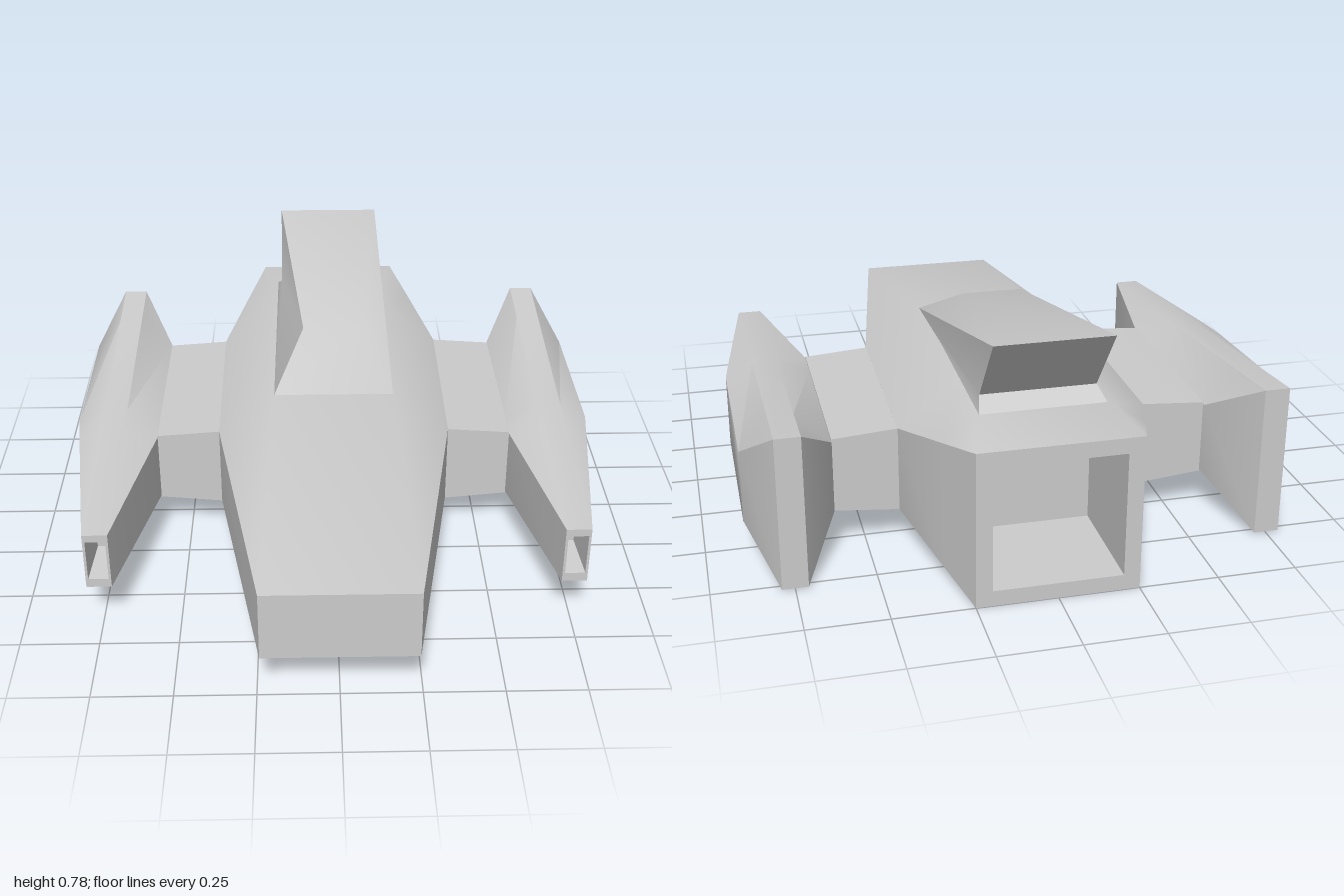
import * as THREE from 'three';
import { toCreasedNormals } from 'three/addons/utils/BufferGeometryUtils.js';

const material = new THREE.MeshStandardMaterial({ color: 0xcccccc });
const { lerp } = THREE.MathUtils;

// Skin a list of rings with equal point counts and cap both ends.
// Rings run counter-clockwise as seen from the last ring's side.
function loft(name, rings) {
  const out = [];
  const P = rings.map((r) => r.map((p) => new THREE.Vector3(...p)));
  const tri = (a, b, c) => {
    const area = b.clone().sub(a).cross(c.clone().sub(a)).length();
    if (area > 1e-7) out.push(...a, ...b, ...c);
  };
  const n = P[0].length;
  for (let i = 0; i < P.length - 1; i++) {
    for (let j = 0; j < n; j++) {
      const k = (j + 1) % n;
      tri(P[i][j], P[i][k], P[i + 1][k]);
      tri(P[i][j], P[i + 1][k], P[i + 1][j]);
    }
  }
  const first = P[0], last = P[P.length - 1];
  for (let j = 1; j < n - 1; j++) {
    tri(first[0], first[j + 1], first[j]);
    tri(last[0], last[j], last[j + 1]);
  }
  const geo = new THREE.BufferGeometry();
  geo.setAttribute('position', new THREE.Float32BufferAttribute(out, 3));
  const mesh = new THREE.Mesh(toCreasedNormals(geo, 0.7), material);
  mesh.name = name;
  return mesh;
}

// Eight-sided section at z; side, top and bottom are [x0, x1] spans,
// ys is [bottom, side bottom, side top, top].
function section(z, side, top, bottom, [yb, sb, st, yt]) {
  return [
    [side[1], sb, z], [side[1], st, z], [top[1], yt, z], [top[0], yt, z],
    [side[0], st, z], [side[0], sb, z], [bottom[0], yb, z], [bottom[1], yb, z],
  ];
}
const rect = (z, x0, x1, y0, y1) =>
  section(z, [x0, x1], [x0, x1], [x0, x1], [y0, y0, y1, y1]);

const mirrorRings = (rings) =>
  rings.map((r) => r.map(([x, y, z]) => [-x, y, z]).reverse());

function createHull() {
  const span = (w) => [-w, w];
  const belly = (z) => lerp(0, 0.14, (z + 1) / 2);
  const station = (z, side, top, sb, st, yt) =>
    section(z, span(side), span(top), span(0.245), [belly(z), sb, st, yt]);
  return loft('hull', [
    // exhaust recess, then its rim
    rect(-0.63, -0.2, 0.2, 0.05, 0.45),
    rect(-1, -0.2, 0.2, 0.05, 0.45),
    rect(-1, -0.25, 0.25, 0, 0.5),
    // body
    station(-0.82, 0.31, 0.21, 0.045, 0.455, 0.525),
    station(-0.56, 0.395, 0.2, 0.11, 0.39, 0.525),
    station(0.11, 0.39, 0.2, 0.11, 0.39, 0.525),
    rect(1, -0.24, 0.24, 0.14, 0.37),
  ]);
}

function podRings() {
  const zBack = -0.78, zFront = 0.66;
  const ridge = [0.71, 0.79];
  const station = (z, inner, outer) => {
    const t = (z - zBack) / (zFront - zBack);
    const ys = [lerp(0.005, 0.155, t), 0.135, 0.37, lerp(0.5, 0.35, t)];
    return section(z, [inner, outer], ridge, ridge, ys);
  };
  return [
    rect(zBack, 0.71, 0.79, 0.005, 0.5),
    station(-0.57, 0.6, 0.88),
    station(0, 0.6, 0.88),
    station(0.11, 0.6, 0.865),
    rect(zFront, 0.71, 0.79, 0.155, 0.35),
    // tapered muzzle recess
    rect(zFront, 0.718, 0.782, 0.185, 0.325),
    rect(zFront - 0.15, 0.732, 0.768, 0.205, 0.285),
  ];
}

function createWing() {
  const ring = (x, y0, y1) =>
    [[x, y0, -0.56], [x, y1, -0.56], [x, y1, 0.11], [x, y0, 0.11]];
  return loft('wing', [
    ring(-0.6, 0.13, 0.375), ring(-0.39, 0.11, 0.39),
    ring(0.39, 0.11, 0.39), ring(0.6, 0.13, 0.375),
  ]);
}

function createTailFin() {
  // each level: back half width, y, z, then front half width, y, z
  const level = (xb, yb, zb, xf, yf, zf) =>
    [[-xb, yb, zb], [-xf, yf, zf], [xf, yf, zf], [xb, yb, zb]];
  return loft('tailFin', [
    level(0.2, 0.515, -0.82, 0.2, 0.5, 0.1),
    level(0.18, 0.56, -0.74, 0.2, 0.525, 0.1),
    level(0.18, 0.78, -0.91, 0.1, 0.655, -0.14),
  ]);
}

export function createModel() {
  const model = new THREE.Group();
  model.name = 'spacecraft';
  const pod = podRings();
  model.add(
    createHull(),
    createWing(),
    createTailFin(),
    loft('leftPod', pod),
    loft('rightPod', mirrorRings(pod)),
  );
  return model;
}
